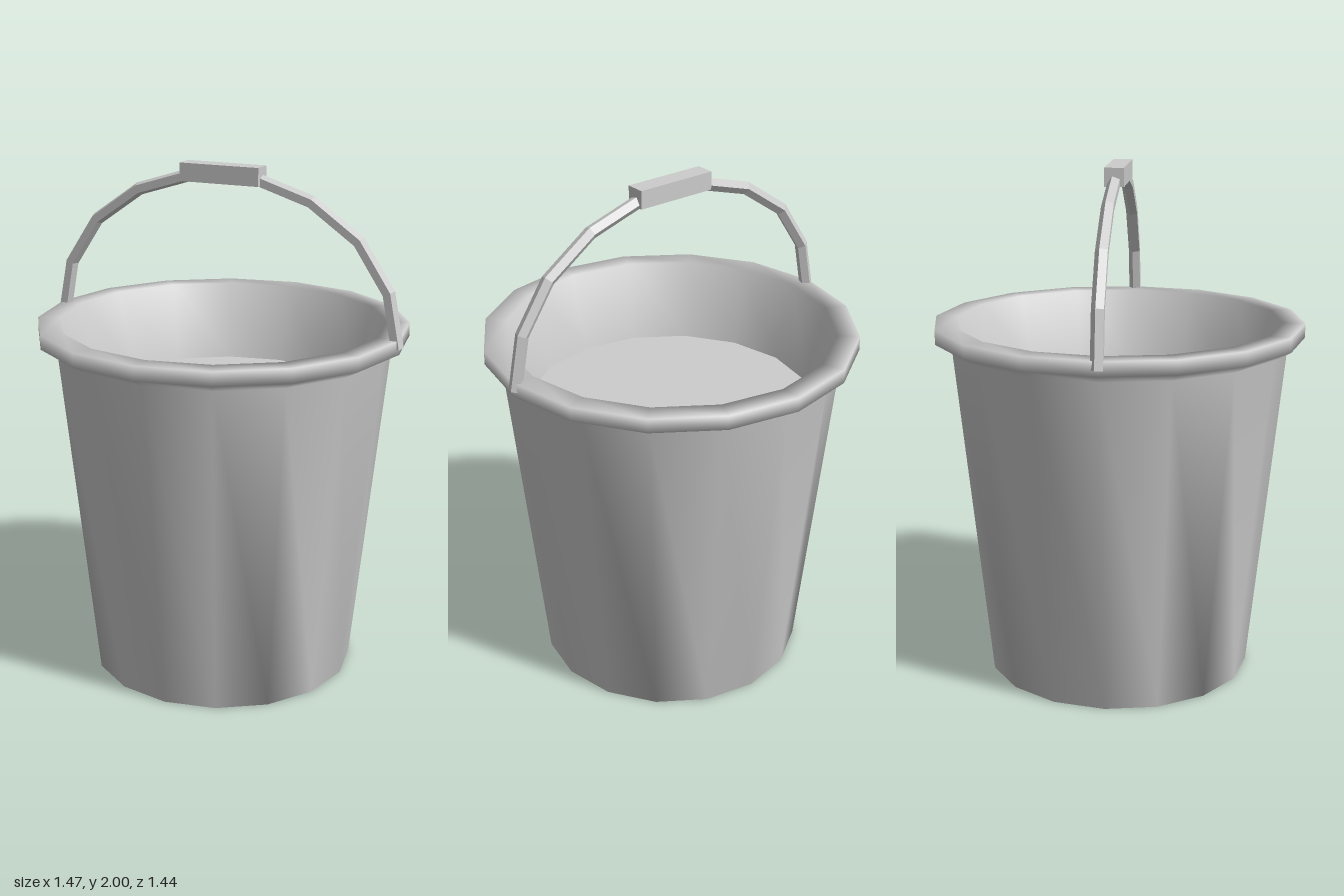
import * as THREE from 'three';
import { mergeGeometries, mergeVertices } from 'three/addons/utils/BufferGeometryUtils.js';

const SIDES = 16;

// Regular polygon facing down on y = 0, with corners in line with the lathe
function basePolygon(radius) {
  const corners = [];
  for (let i = 0; i < SIDES; i++) {
    const a = (i / SIDES) * Math.PI * 2;
    corners.push(new THREE.Vector2(Math.cos(a) * radius, Math.sin(a) * radius));
  }
  return new THREE.ShapeGeometry(new THREE.Shape(corners)).rotateX(Math.PI / 2);
}

// Joins parts into one skin with smooth normals running across the seams
function smoothSkin(parts) {
  const merged = mergeGeometries(parts);
  merged.deleteAttribute('normal');
  merged.deleteAttribute('uv');
  const skin = mergeVertices(merged, 0.001);
  skin.computeVertexNormals();
  return skin;
}

// Closed bar swept along a path in the xy plane, with flat faces
function sweepBar(path, radius, sides) {
  const pos = [], idx = [];
  path.forEach(([x, y], i) => {
    const a = path[Math.max(i - 1, 0)], b = path[Math.min(i + 1, path.length - 1)];
    const len = Math.hypot(b[0] - a[0], b[1] - a[1]);
    const nx = -(b[1] - a[1]) / len, ny = (b[0] - a[0]) / len;
    for (let j = 0; j < sides; j++) {
      const t = (j / sides) * Math.PI * 2 - Math.PI / 2;
      const c = Math.cos(t) * radius;
      pos.push(x + nx * c, y + ny * c, Math.sin(t) * radius);
    }
  });
  const last = path.length - 1;
  for (let i = 0; i < last; i++) {
    for (let j = 0; j < sides; j++) {
      const a = i * sides + j, b = i * sides + ((j + 1) % sides);
      idx.push(a, b, b + sides, a, b + sides, a + sides);
    }
  }
  for (let j = 1; j < sides - 1; j++) {
    idx.push(0, j + 1, j);
    idx.push(last * sides, last * sides + j, last * sides + j + 1);
  }
  const geo = new THREE.BufferGeometry();
  geo.setAttribute('position', new THREE.Float32BufferAttribute(pos, 3));
  geo.setIndex(idx);
  const flat = geo.toNonIndexed();
  flat.computeVertexNormals();
  return flat;
}

export function createModel() {
  const group = new THREE.Group();
  const grey = new THREE.MeshStandardMaterial({ color: 0xcccccc });
  grey.name = 'grey';

  const add = (name, geo) => {
    const mesh = new THREE.Mesh(geo, grey);
    mesh.name = name;
    group.add(mesh);
    return mesh;
  };

  // Flat base, tapered outer wall, rim and inner wall in one smooth skin
  const profile = [[0.52, 0], [0.655, 1.31], [0.72, 1.345], [0.72, 1.4], [0.635, 1.4], [0.557, 1.095]];
  const wall = new THREE.LatheGeometry(profile.map(([r, y]) => new THREE.Vector2(r, y)), SIDES);
  add('bucketBody', smoothSkin([wall, basePolygon(0.52)]));

  // Raised floor inside
  const floor = add('innerFloor', new THREE.CircleGeometry(0.557, SIDES));
  floor.rotation.x = -Math.PI / 2;
  floor.position.y = 1.095;

  // Arched five-sided handle, mirrored about the centre
  const half = [[-0.71, 1.365], [-0.67, 1.57], [-0.55, 1.75], [-0.36, 1.882], [-0.14, 1.95]];
  const arch = [...half, ...half.map(([x, y]) => [-x, y]).reverse()];
  add('handle', sweepBar(arch, 0.026, 5));

  // Block grip
  const grip = add('grip', new THREE.BoxGeometry(0.325, 0.07, 0.074));
  grip.position.set(0, 1.965, 0);

  return group;
}
